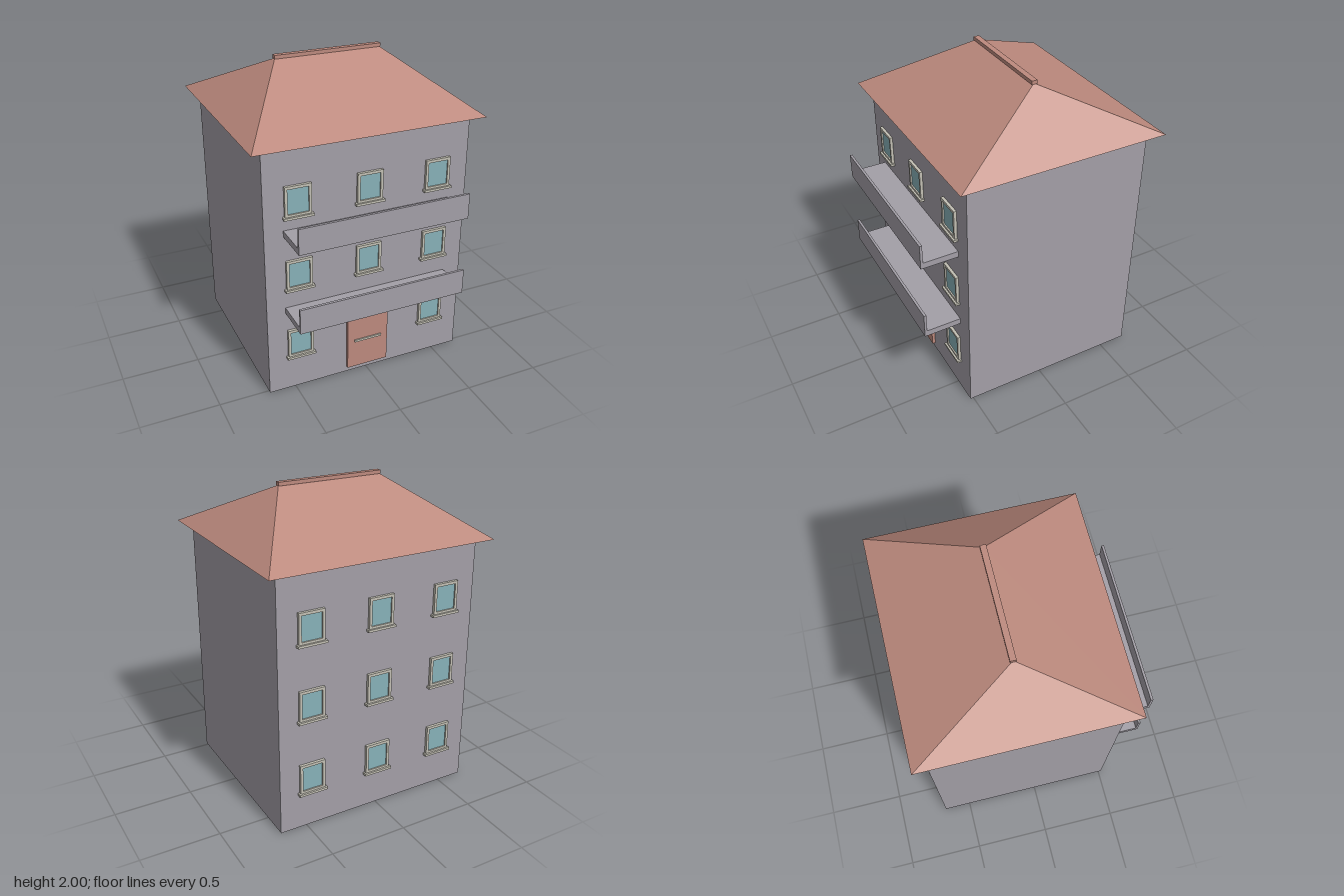
import * as THREE from 'three';

const mat = (name, color) => Object.assign(new THREE.MeshStandardMaterial({ color }), { name });

export function createModel() {
  const wall = mat('wall grey', 0xa39fa7);
  const tile = mat('terracotta', 0xbd8a7e);
  const trim = mat('trim beige', 0xc3c0b4);
  const glass = mat('glass teal', 0x87b1b8);

  const house = new THREE.Group();
  house.name = 'house';

  // Box given by its lower and upper corners
  const box = (parent, name, material, [x0, y0, z0], [x1, y1, z1]) => {
    const mesh = new THREE.Mesh(new THREE.BoxGeometry(x1 - x0, y1 - y0, z1 - z0), material);
    mesh.position.set((x0 + x1) / 2, (y0 + y1) / 2, (z0 + z1) / 2);
    mesh.name = name;
    parent.add(mesh);
    return mesh;
  };

  const front = 0.52, back = -0.68;
  box(house, 'walls', wall, [-0.675, 0, back], [0.675, 1.66, front]);

  // Hipped roof: a box whose top face is pinched into a ridge line
  const roofGeo = new THREE.BoxGeometry(1.5, 0.32, 1.35).toNonIndexed();
  const pos = roofGeo.attributes.position;
  for (let i = 0; i < pos.count; i++) {
    if (pos.getY(i) > 0) {
      pos.setX(i, Math.sign(pos.getX(i)) * 0.35);
      pos.setZ(i, Math.sign(pos.getZ(i)) * 0.001);
    }
  }
  roofGeo.computeVertexNormals();
  const roof = new THREE.Mesh(roofGeo, tile);
  roof.name = 'roof';
  roof.position.set(0, 1.82, -0.085);
  house.add(roof);
  box(house, 'ridgeCap', tile, [-0.357, 1.977, -0.104], [0.357, 2, -0.067]);

  // Window: hollow frame, recessed pane and projecting sill, facing +z
  const outline = new THREE.Shape([[-0.084, 0], [0.084, 0], [0.084, 0.193], [-0.084, 0.193]]
    .map(([x, y]) => new THREE.Vector2(x, y)));
  outline.holes.push(new THREE.Path([[-0.067, 0.015], [-0.067, 0.175], [0.067, 0.175], [0.067, 0.015]]
    .map(([x, y]) => new THREE.Vector2(x, y))));
  const frameGeo = new THREE.ExtrudeGeometry(outline, { depth: 0.018, bevelEnabled: false });
  const addWindow = (x, y, z, turn) => {
    const win = new THREE.Group();
    win.name = 'window';
    const frame = new THREE.Mesh(frameGeo, trim);
    frame.name = 'windowFrame';
    win.add(frame);
    box(win, 'windowPane', glass, [-0.067, 0.015, 0.001], [0.067, 0.175, 0.009]);
    box(win, 'windowSill', trim, [-0.095, -0.014, 0], [0.095, 0.001, 0.03]);
    win.position.set(x, y, z);
    win.rotation.y = turn;
    house.add(win);
  };
  [0.247, 0.738, 1.224].forEach((y, floor) => {
    for (const x of [-0.462, 0, 0.462]) {
      if (floor > 0 || x !== 0) addWindow(x, y, front, 0);
      addWindow(x, y, back, Math.PI);
    }
  });

  // Entrance door with its cross bar
  box(house, 'door', tile, [-0.142, 0.04, front - 0.01], [0.142, 0.455, 0.541]);
  box(house, 'doorBar', trim, [-0.094, 0.233, front], [0.094, 0.248, 0.55]);

  // Balconies: L-shaped section, open at both ends
  const section = new THREE.Shape([[0, 0], [0.24, 0], [0.24, 0.165], [0.224, 0.165], [0.224, 0.04], [0, 0.04]]
    .map(([z, y]) => new THREE.Vector2(-z, y)).reverse());
  const balconyGeo = new THREE.ExtrudeGeometry(section, { depth: 1.108, bevelEnabled: false });
  for (const y of [0.566, 1.095]) {
    const balcony = new THREE.Mesh(balconyGeo, wall);
    balcony.name = 'balcony';
    balcony.rotation.y = Math.PI / 2;
    balcony.position.set(-0.554, y, front);
    house.add(balcony);
  }
  return house;
}
